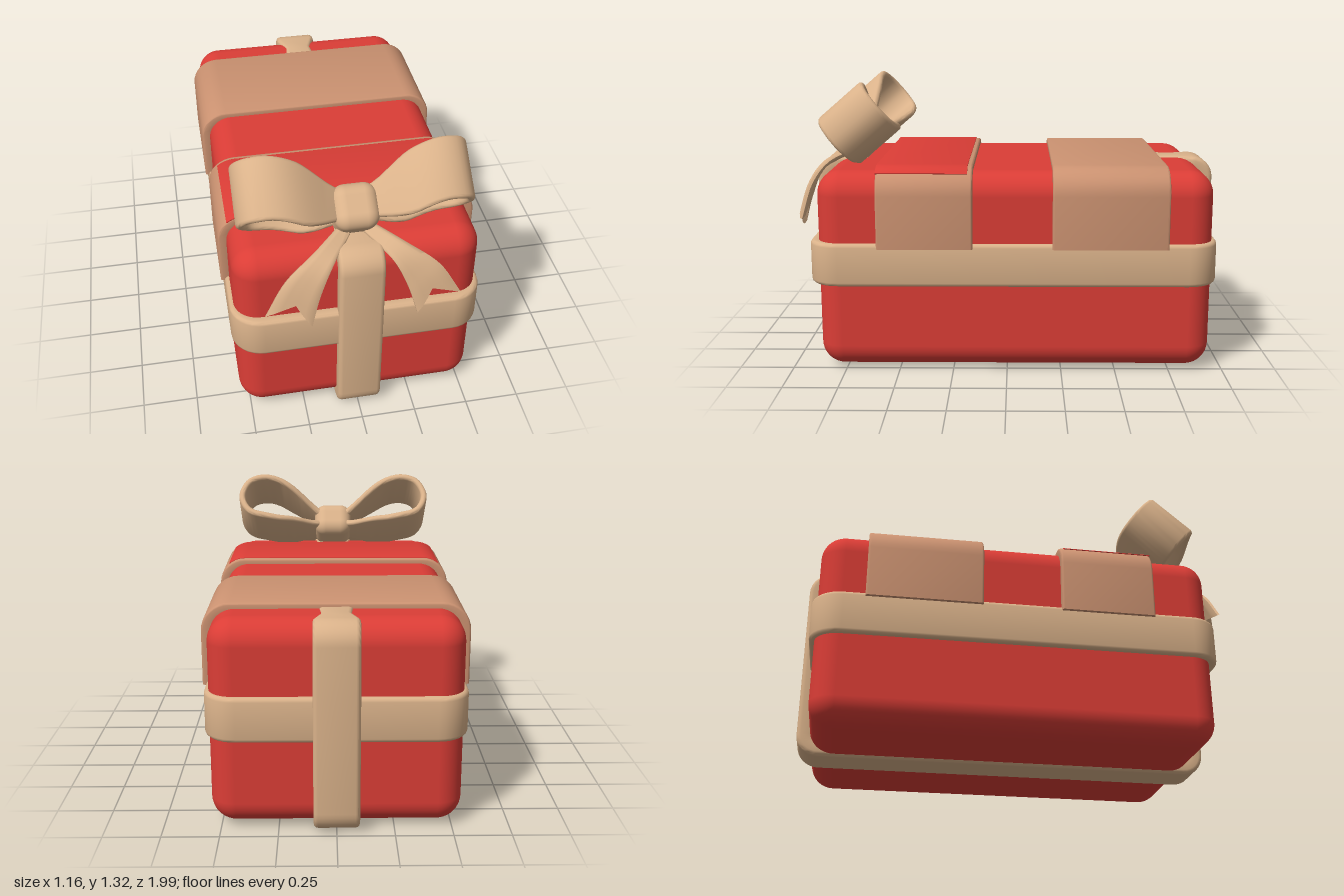
import * as THREE from 'three';
import { toCreasedNormals } from 'three/addons/utils/BufferGeometryUtils.js';
import { RoundedBoxGeometry } from 'three/addons/geometries/RoundedBoxGeometry.js';

const V = (x, y, z) => new THREE.Vector3(x, y, z);

// Skin a list of equal-sized rings; open lofts get end caps.
function loft(rings, closed = false, crease = 0.7) {
  const m = rings[0].length, count = rings.length;
  const pts = rings.flat();
  const tris = [];
  const quad = (a, b, c, d) => tris.push([a, b, c], [a, c, d]);
  for (let i = 0; i < (closed ? count : count - 1); i++) {
    const a = i * m, b = ((i + 1) % count) * m;
    for (let j = 0; j < m; j++) {
      const k = (j + 1) % m;
      quad(a + j, a + k, b + k, b + j);
    }
  }
  if (!closed) {
    const e = (count - 1) * m;
    for (let k = 0; k < m / 2 - 1; k++) {
      quad(m - 1 - k, m - 2 - k, k + 1, k);
      quad(e + k, e + k + 1, e + m - 2 - k, e + m - 1 - k);
    }
  }
  // The signed volume tells whether the faces point outward.
  let volume = 0;
  for (const [a, b, c] of tris) volume += pts[a].dot(V(0, 0, 0).crossVectors(pts[b], pts[c]));
  if (volume < 0) tris.forEach((t) => t.reverse());
  const geo = new THREE.BufferGeometry().setFromPoints(pts);
  geo.setIndex(tris.flat());
  return toCreasedNormals(geo, crease);
}

// Sweep a rounded strip along frames { p, w (half width vector), n (unit normal) }.
function strip(frames, halfThick, r, closed = false) {
  const rings = frames.map(({ p, w, n }) => {
    const hw = w.length(), dir = w.clone().normalize(), ring = [];
    for (let q = 0; q < 4; q++) {
      for (let k = 0; k <= 3; k++) {
        const ang = (q + k / 3) * Math.PI / 2;
        const sa = q === 0 || q === 3 ? 1 : -1, sb = q < 2 ? 1 : -1;
        ring.push(p.clone()
          .addScaledVector(dir, sa * (hw - r) + r * Math.cos(ang))
          .addScaledVector(n, sb * (halfThick - r) + r * Math.sin(ang)));
      }
    }
    return ring;
  });
  return loft(rings, closed);
}

// One rounded corner of a rectangle path, quadrant q, as [u, v, nu, nv].
function corner(hx, hy, r, q, from = 0, to = 90) {
  const su = q === 0 || q === 3 ? 1 : -1, sv = q < 2 ? 1 : -1, out = [];
  for (let k = 0; k <= 8; k++) {
    const a = THREE.MathUtils.degToRad(q * 90 + from + (to - from) * k / 8);
    out.push([su * (hx - r) + r * Math.cos(a), sv * (hy - r) + r * Math.sin(a), Math.cos(a), Math.sin(a)]);
  }
  return out;
}

export function createModel() {
  const model = new THREE.Group();
  model.name = 'giftBox';
  const material = (name, color) => {
    const m = new THREE.MeshStandardMaterial({ color });
    m.name = name;
    return m;
  };
  const red = material('red', 0xdb3d36);
  const tan = material('tan', 0xdab28a);
  const salmon = material('salmon', 0xcb9271);
  const add = (name, geo, mat, parent = model) => {
    const mesh = new THREE.Mesh(geo, mat);
    mesh.name = name;
    parent.add(mesh);
    return mesh;
  };

  // Box
  add('box', new RoundedBoxGeometry(1.09, 0.92, 1.81, 6, 0.11), red).position.set(0, 0.472, -0.035);

  // Ribbon around the sides
  const belt = [0, 1, 2, 3].flatMap((q) => corner(0.535, 0.9075, 0.11, q)).map(([u, v, a, b]) => (
    { p: V(u, 0.51, v - 0.0275), w: V(0, 0.1, 0), n: V(a, 0, b) }));
  add('sideRibbon', strip(belt, 0.03, 0.018, true), tan);

  // Lengthwise ribbon: over the back, along the bottom and up the front
  const hz = 0.9275, hy = 0.43;
  const wrapPath = [
    [-0.66, hy, 0, 1, 0.08], [-0.78, hy, 0, 1, 0.068],
    ...[1, 2, 3, 0].flatMap((q) => corner(hz, hy, 0.06, q)),
    [0.72, hy, 0, 1, 0.09],
  ];
  const wrap = wrapPath.map(([u, v, a, b, half = 0.1]) => (
    { p: V(0, v + 0.47, u - 0.0325), w: V(half, 0, 0), n: V(0, b, a) }));
  add('lengthRibbon', strip(wrap, 0.04, 0.02), tan);

  // Broad bands over the top, ending at the side ribbon
  const bandFrames = (path, z0, z1) => path.map(([u, v, a, b]) => (
    { p: V(u, v, (z0 + z1) / 2), w: V(0, 0, (z1 - z0) / 2), n: V(a, b, 0) }));
  const bx = 0.557, by = 0.932;
  const bandPath = [
    [bx, 0.59, 1, 0], ...corner(bx, by, 0.1, 0), ...corner(bx, by, 0.1, 1), [-bx, 0.59, -1, 0],
  ];
  add('rearBand', strip(bandFrames(bandPath, -0.73, -0.205), 0.025, 0.01), salmon);
  add('frontBand', strip(bandFrames(bandPath, 0.155, 0.59), 0.025, 0.01), salmon);
  // Red panel on top of the front band
  const panelPath = [
    ...corner(0.582, 0.957, 0.125, 0, 50, 90), ...corner(0.582, 0.957, 0.125, 1, 0, 40),
  ];
  add('frontBandPanel', strip(bandFrames(panelPath, 0.178, 0.592), 0.003, 0.001), red);

  // Bow, leaning back over the front edge
  const bow = new THREE.Group();
  bow.name = 'bow';
  model.add(bow);
  const up = V(0, 0.76, 0.65), across = V(0, 0.65, -0.76);
  const teardrop = new THREE.CatmullRomCurve3([
    [0.04, 0], [0.17, 0.085], [0.32, 0.127], [0.45, 0.1],
    [0.495, 0], [0.45, -0.09], [0.32, -0.115], [0.17, -0.065],
  ].map(([x, y]) => V(x, y, 0)), true);

  const outerEdge = new THREE.CatmullRomCurve3([
    V(0.06, 0.98, 0.74), V(0.2, 0.935, 0.86), V(0.33, 0.85, 0.92), V(0.425, 0.7, 0.955)]);
  const innerEdge = new THREE.CatmullRomCurve3([
    V(0.03, 0.95, 0.78), V(0.13, 0.89, 0.91), V(0.19, 0.77, 0.955), V(0.23, 0.635, 0.985)]);

  for (const s of [1, -1]) {
    const side = s > 0 ? 'left' : 'right';
    // Loop
    const frames = [];
    for (let i = 0; i < 48; i++) {
      const c = teardrop.getPoint(i / 48), t = teardrop.getTangent(i / 48);
      const f = THREE.MathUtils.smoothstep(c.x, 0.04, 0.4);
      const g = THREE.MathUtils.smoothstep(c.x, 0.03, 0.26);
      frames.push({
        p: V(s * c.x, 1.04 + 0.095 * f, 0.7 - 0.025 * f).addScaledVector(up, c.y),
        w: across.clone().multiplyScalar(0.065 + 0.07 * g),
        n: V(-s * t.y, 0, 0).addScaledVector(up, t.x).normalize(),
      });
    }
    add(side + 'BowLoop', strip(frames, 0.017, 0.016, true), tan, bow);

    // Tail with a notched end
    const rings = [], steps = 18, cols = 8;
    for (let i = 0; i <= steps; i++) {
      const front = [], back = [];
      for (let j = 0; j <= cols; j++) {
        const k = j / cols;
        const t = (i / steps) * (1 - 0.17 * (1 - Math.abs(2 * k - 1)));
        const p = outerEdge.getPoint(t).lerp(innerEdge.getPoint(t), k);
        p.x *= s;
        const h = j === 0 || j === cols ? 0.006 : 0.015;
        front.push(p.clone().add(V(0, h * 0.5, h * 0.85)));
        back.unshift(p.clone().add(V(0, -h * 0.5, -h * 0.85)));
      }
      rings.push([...front, ...back]);
    }
    add(side + 'BowTail', loft(rings, false, 1), tan, bow);
  }

  // Knot
  const knot = add('bowKnot', new RoundedBoxGeometry(0.2, 0.18, 0.2, 6, 0.06), tan, bow);
  knot.position.set(0, 1.035, 0.715);
  knot.rotation.x = 0.7;

  return model;
}
